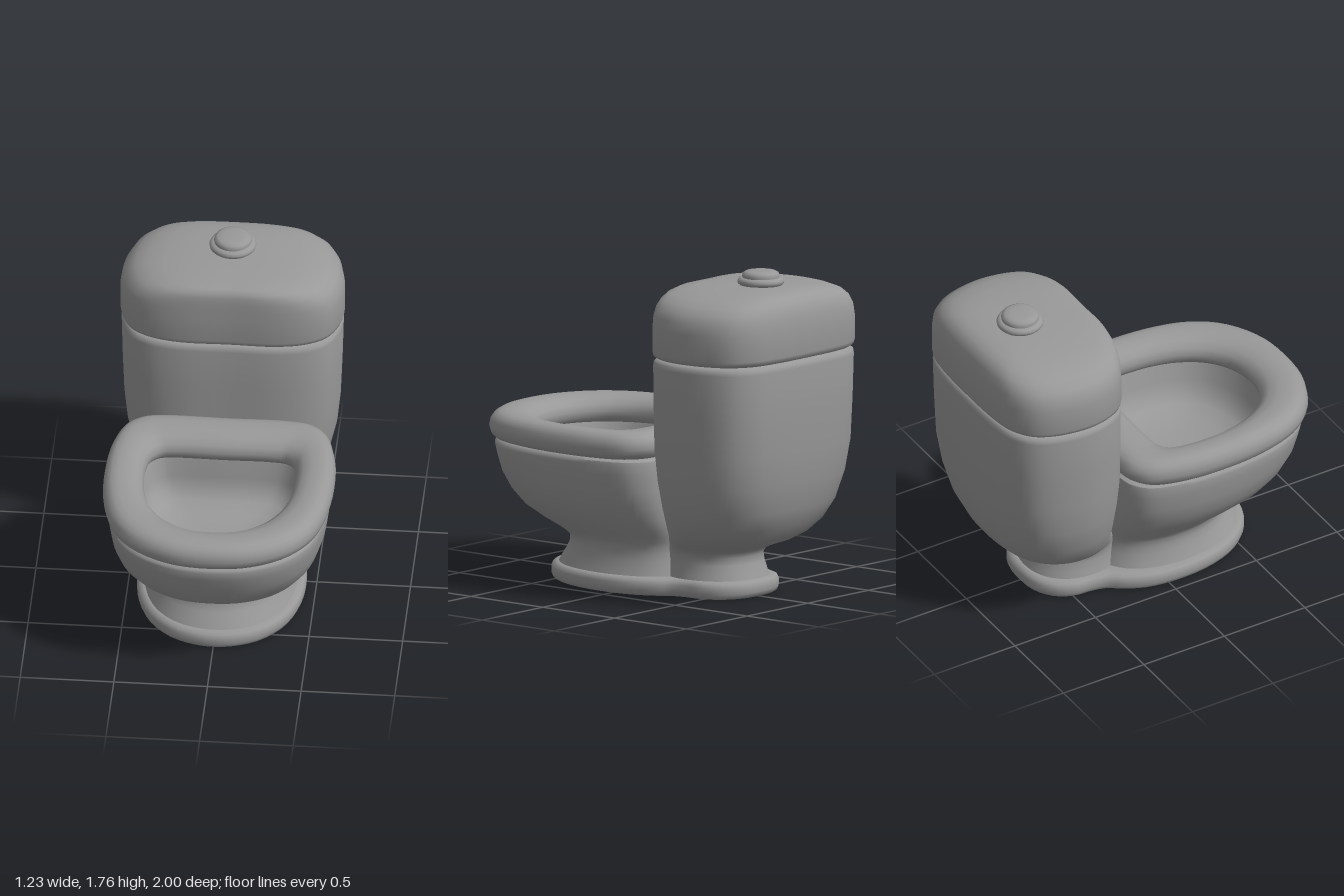
import * as THREE from 'three';
import { toCreasedNormals } from 'three/addons/utils/BufferGeometryUtils.js';

const SEGMENTS = 80;
const { lerp } = THREE.MathUtils;

// Closed outline from its +x half, back to front
function outline(half) {
  const mirrored = half.slice(1, -1).reverse().map(([x, z]) => [-x, z]);
  const points = [...half, ...mirrored].map(([x, z]) => new THREE.Vector3(x, 0, z));
  const curve = new THREE.CatmullRomCurve3(points, true, 'centripetal');
  return Array.from({ length: SEGMENTS }, (_, i) => curve.getPoint(i / SEGMENTS));
}

// Section given as height, half width, back z, front z and blend towards an ellipse
function section(shape, [y, halfWidth, back, front, round = 0]) {
  return shape.map((p, i) => {
    const angle = (i / SEGMENTS) * Math.PI * 2;
    const x = lerp(p.x, Math.sin(angle), round);
    const z = lerp(p.z, 0.5 - 0.5 * Math.cos(angle), round);
    return [x * halfWidth, y, back + z * (front - back)];
  });
}

// Outline moved sideways by a distance, at a height
function offset(shape, distance, y) {
  return shape.map((p, i) => {
    const next = shape[(i + 1) % SEGMENTS], last = shape[(i + SEGMENTS - 1) % SEGMENTS];
    const dx = next.x - last.x, dz = next.z - last.z, length = Math.hypot(dx, dz);
    return [p.x + (dz / length) * distance, y, p.z - (dx / length) * distance];
  });
}

// Skin over rings of equal length, running up the outside
function loft(rings) {
  const index = [];
  const n = SEGMENTS;
  const collapsed = (ring) => Math.hypot(ring[0][0] - ring[n / 4][0], ring[0][2] - ring[n / 4][2]) < 1e-6;
  for (let j = 0; j < rings.length - 1; j++) {
    for (let i = 0; i < n; i++) {
      const k = (i + 1) % n;
      const a = j * n + i, b = j * n + k, c = a + n, d = b + n;
      if (!collapsed(rings[j])) index.push(a, c, b);
      if (!collapsed(rings[j + 1])) index.push(b, c, d);
    }
  }
  const geometry = new THREE.BufferGeometry();
  geometry.setAttribute('position', new THREE.Float32BufferAttribute(rings.flat(2), 3));
  geometry.setIndex(index);
  return toCreasedNormals(geometry, 0.8);
}

export function createModel() {
  const group = new THREE.Group();
  const ceramic = new THREE.MeshStandardMaterial({ color: 0x999999 });
  ceramic.name = 'grey ceramic';

  const add = (name, geometry) => {
    const mesh = new THREE.Mesh(geometry, ceramic);
    mesh.name = name;
    group.add(mesh);
    return mesh;
  };
  const addLoft = (name, shape, rows) => add(name, loft(rows.map((row) => section(shape, row))));

  const bowlShape = outline([
    [0, 0], [0.59, 0], [0.76, 0.022], [0.89, 0.085], [0.975, 0.23], [1, 0.385],
    [0.98, 0.57], [0.895, 0.745], [0.72, 0.875], [0.39, 0.972], [0, 1],
  ]);
  const openingShape = outline([
    [0, 0], [0.67, 0], [0.84, 0.02], [0.96, 0.093], [1, 0.21], [1, 0.36],
    [0.965, 0.53], [0.87, 0.69], [0.68, 0.85], [0.37, 0.965], [0, 1],
  ]);
  const tankShape = outline([
    [0, 0], [0.43, 0.01], [0.67, 0.045], [0.85, 0.14], [0.95, 0.29], [1, 0.53],
    [0.97, 0.71], [0.88, 0.86], [0.72, 0.95], [0.45, 1], [0, 1],
  ]);
  const footShape = outline([
    [0, -0.68], [0.13, -0.665], [0.235, -0.6], [0.29, -0.5], [0.3, -0.4], [0.32, -0.32], [0.375, -0.24],
    [0.43, -0.11], [0.45, 0.07], [0.43, 0.27], [0.36, 0.45], [0.24, 0.58], [0.11, 0.64], [0, 0.655],
  ]);

  // Two-lobed foot rim with a recessed underside
  add('foot', loft([
    section(footShape, [0.02, 0, -0.1, -0.1]),
    ...[
      [-0.065, 0.02], [-0.05, 0.012], [-0.035, 0.002], [-0.02, 0], [-0.008, 0.008], [0, 0.028],
      [0, 0.062], [-0.01, 0.083], [-0.03, 0.092], [-0.07, 0.092],
    ].map(([distance, y]) => offset(footShape, distance, y)),
    section(footShape, [0.092, 0, -0.1, -0.1]),
  ]));

  // Pedestal and bowl: outside, rim, then the hollow
  addLoft('bowl', bowlShape, [
    [0.08, 0.41, -0.3, 0.615, 0.6], [0.12, 0.395, -0.29, 0.592, 0.6], [0.17, 0.38, -0.275, 0.557, 0.6],
    [0.21, 0.373, -0.265, 0.535, 0.55], [0.245, 0.376, -0.26, 0.535, 0.5], [0.27, 0.388, -0.26, 0.56, 0.45],
    [0.3, 0.415, -0.26, 0.615, 0.4], [0.34, 0.455, -0.26, 0.695, 0.3], [0.4, 0.505, -0.26, 0.8, 0.2],
    [0.48, 0.55, -0.26, 0.872, 0.1], [0.57, 0.575, -0.26, 0.925], [0.66, 0.587, -0.26, 0.955],
    [0.715, 0.592, -0.26, 0.97], [0.732, 0.588, -0.257, 0.965], [0.743, 0.57, -0.24, 0.945],
    [0.748, 0.54, -0.2, 0.91], [0.748, 0.46, -0.06, 0.81], [0.72, 0.45, -0.05, 0.8],
    [0.62, 0.43, -0.04, 0.77], [0.55, 0.405, -0.02, 0.735], [0.51, 0.365, 0.02, 0.69],
    [0.48, 0.29, 0.09, 0.6], [0.465, 0.18, 0.18, 0.49], [0.46, 0, 0.33, 0.33],
  ]);

  // Seat ring: rounded section swept between outer and inner outlines
  const outer = section(bowlShape, [0, 0.615, -0.27, 1]);
  const inner = section(openingShape, [0, 0.4, 0, 0.755]);
  const seatSection = [
    [0.22, 0.743], [0.12, 0.75], [0.04, 0.77], [0, 0.805], [0.03, 0.843], [0.1, 0.868],
    [0.21, 0.884], [0.36, 0.889], [0.6, 0.886], [0.8, 0.87], [0.94, 0.843], [1, 0.808],
    [0.98, 0.775], [0.92, 0.752], [0.8, 0.743], [0.22, 0.743],
  ];
  add('seat', loft(seatSection.map(([t, y]) => outer.map((p, i) => [
    lerp(p[0], inner[i][0], t), y, lerp(p[2], inner[i][2], t),
  ]))));

  // Tank with its rounded, tapering underside and rear pedestal
  addLoft('tank', tankShape, [
    [0.08, 0.27, -0.645, -0.1, 0.8], [0.12, 0.26, -0.632, -0.1, 0.8], [0.17, 0.25, -0.615, -0.1, 0.8],
    [0.21, 0.25, -0.607, -0.1, 0.8], [0.24, 0.265, -0.625, -0.12, 0.8], [0.265, 0.3, -0.68, -0.15, 0.8],
    [0.295, 0.36, -0.765, -0.18, 0.75], [0.335, 0.415, -0.835, -0.21, 0.7], [0.4, 0.475, -0.89, -0.24, 0.55],
    [0.5, 0.525, -0.932, -0.26, 0.35], [0.65, 0.56, -0.964, -0.265, 0.15], [0.82, 0.577, -0.983, -0.265],
    [1.05, 0.586, -0.992, -0.265], [1.28, 0.592, -0.997, -0.265], [1.302, 0.589, -0.994, -0.268],
    [1.315, 0.575, -0.98, -0.28], [1.32, 0.54, -0.95, -0.31], [1.32, 0, -0.63, -0.63],
  ]);

  // Domed lid
  addLoft('tankLid', tankShape, [
    [1.32, 0, -0.63, -0.63], [1.32, 0.55, -0.955, -0.305], [1.324, 0.578, -0.98, -0.28],
    [1.335, 0.593, -0.995, -0.268], [1.355, 0.598, -1, -0.264], [1.49, 0.598, -1, -0.264],
    [1.55, 0.588, -0.995, -0.264], [1.595, 0.562, -0.983, -0.265], [1.63, 0.515, -0.965, -0.268],
    [1.655, 0.45, -0.937, -0.275], [1.672, 0.36, -0.9, -0.295], [1.682, 0.25, -0.83, -0.36],
    [1.687, 0.13, -0.75, -0.47], [1.688, 0, -0.62, -0.62],
  ]);

  // Flush button with its collar
  const lathe = (points) => toCreasedNormals(
    new THREE.LatheGeometry(points.map(([r, y]) => new THREE.Vector2(r, y)), 40), 0.8);
  const collar = add('buttonCollar', lathe([
    [0.1, 1.66], [0.113, 1.685], [0.123, 1.695], [0.125, 1.707], [0.118, 1.72], [0.105, 1.725], [0, 1.725],
  ]));
  const button = add('flushButton', lathe([
    [0.098, 1.715], [0.1, 1.735], [0.095, 1.75], [0.08, 1.758], [0.05, 1.761], [0, 1.762],
  ]));
  for (const part of [collar, button]) part.position.set(-0.005, 0, -0.67);

  return group;
}
